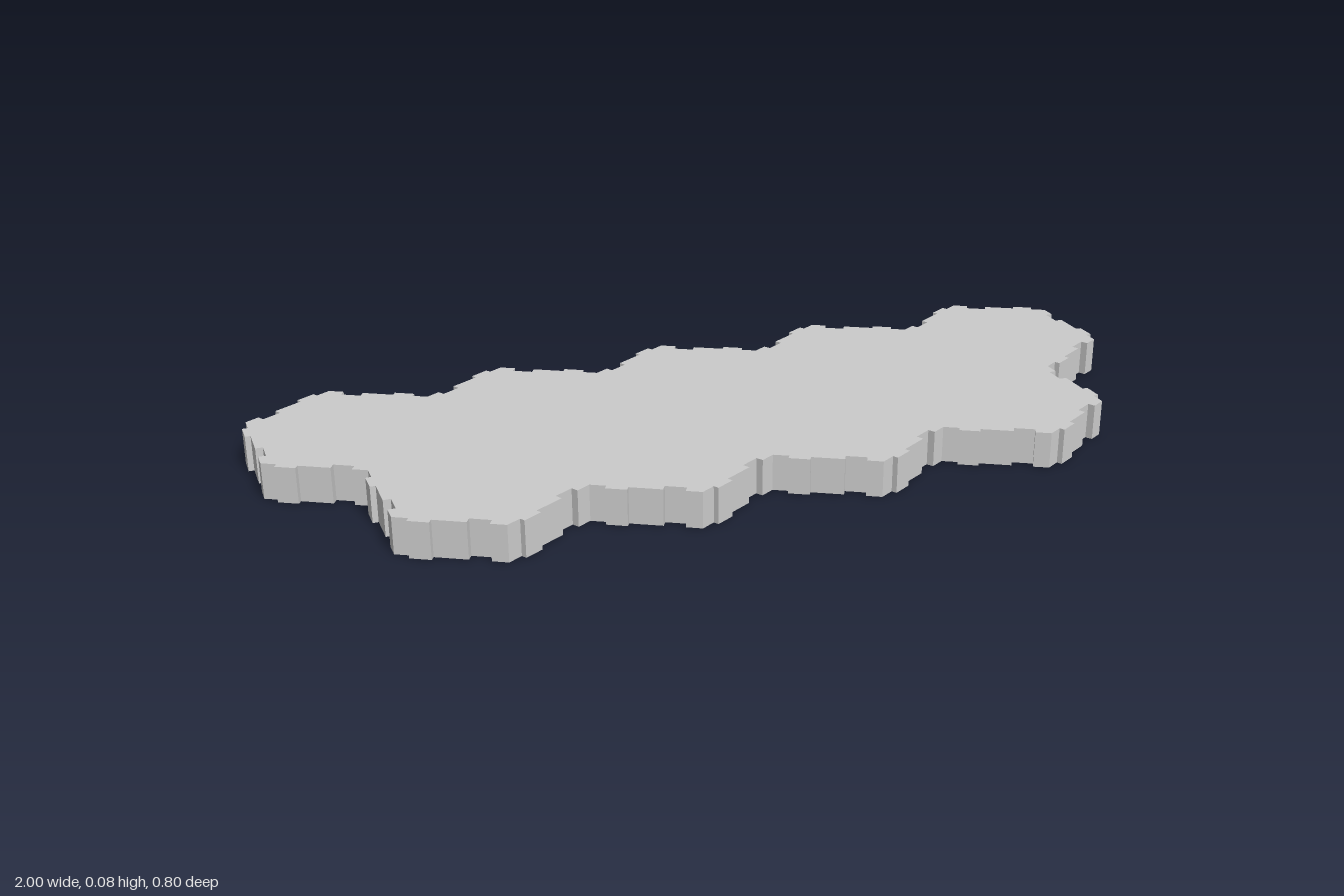
import * as THREE from 'three';

const APOTHEM = 0.1976;                    // hexagon centre to flat side
const SIDE = APOTHEM * 2 / Math.sqrt(3);
const HEIGHT = 0.08;
const TAB = 0.012, NOTCH = 0.016;          // how far tabs stick out and notches cut in

// One hexagon side as [distance along, offset outward]: a notch, then a tab
const mid = SIDE / 2;
const sideProfile = [
  [0, 0],
  [mid - 0.08, 0], [mid - 0.08, -NOTCH], [mid - 0.035, -NOTCH], [mid - 0.035, 0],
  [mid + 0.035, 0], [mid + 0.035, TAB], [mid + 0.08, TAB], [mid + 0.08, 0],
];

// Headings in degrees, clockwise round a row of five tiles behind a row of four
function outlineHeadings() {
  const headings = [];
  for (let i = 0; i < 5; i++) headings.push(30, -30);      // back sides
  headings.push(-90, -150, -90);                           // left end
  for (let i = 0; i < 4; i++) headings.push(-150, 150);    // front sides
  headings.push(90, 150, 90);                              // right end
  return headings;
}

export function createModel() {
  const group = new THREE.Group();
  group.name = 'hexTilePlate';

  // Walk the outline, adding the interlocking profile to every side
  const points = [];
  let x = -5 * APOTHEM, y = 1.25 * SIDE;
  for (const heading of outlineHeadings()) {
    const a = THREE.MathUtils.degToRad(heading);
    const c = Math.cos(a), s = Math.sin(a);
    for (const [along, out] of sideProfile) {
      points.push(new THREE.Vector2(x + c * along - s * out, y + s * along + c * out));
    }
    x += c * SIDE;
    y += s * SIDE;
  }

  // Flat slab lying on the ground
  const geometry = new THREE.ExtrudeGeometry(new THREE.Shape(points), { depth: HEIGHT, bevelEnabled: false });
  geometry.rotateX(-Math.PI / 2);
  const plate = new THREE.Mesh(geometry, new THREE.MeshStandardMaterial({ color: 0xcccccc, flatShading: true }));
  plate.name = 'plate';
  group.add(plate);
  return group;
}
